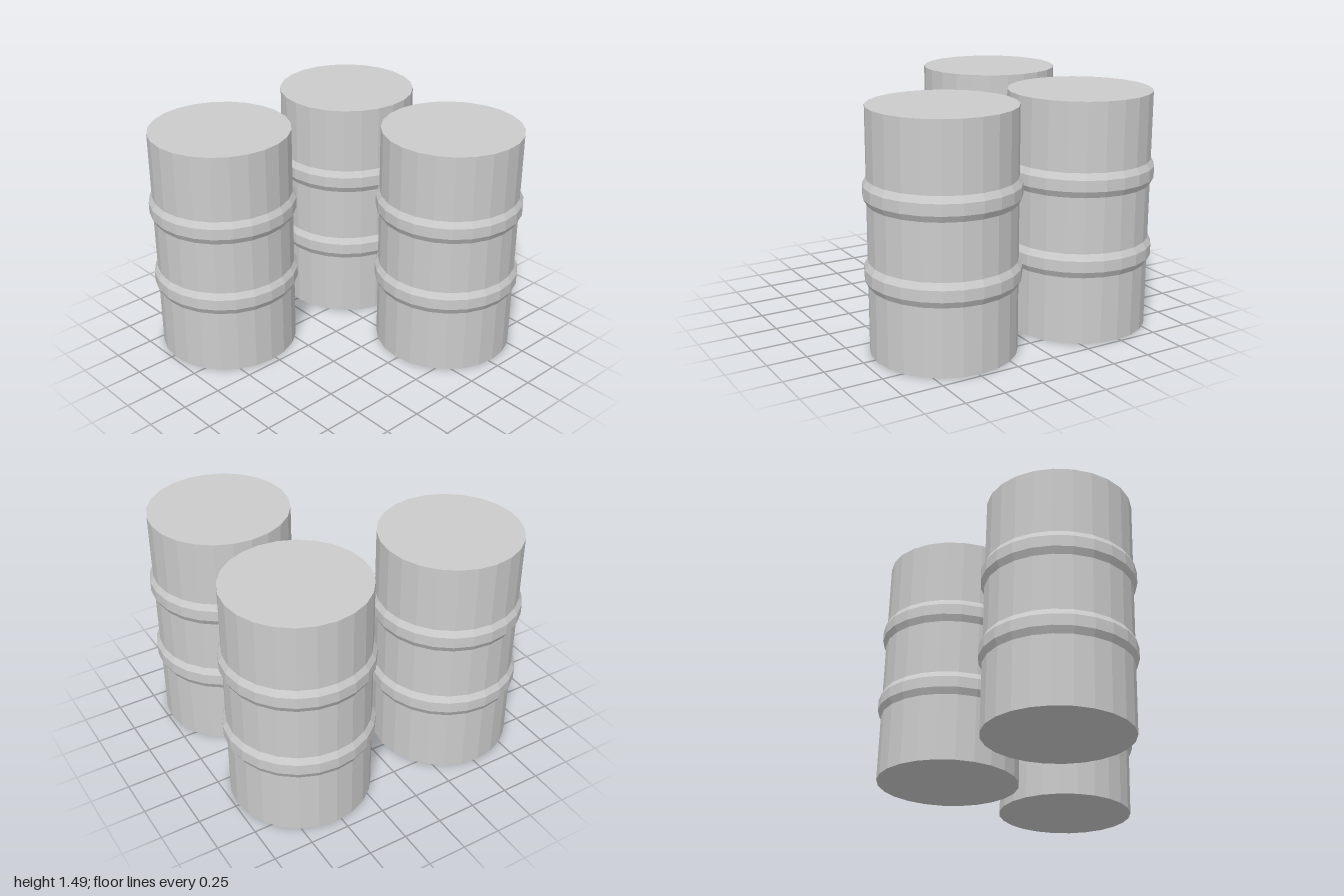
import * as THREE from 'three';

const SIDES = 24, HEIGHT = 1.49, RADIUS = 0.445, HOOP_RADIUS = 0.467;

// Closed drum outline, bottom to top, with two raised hoops
function drumProfile() {
  const points = [[0, 0], [RADIUS, 0]];
  for (const y of [HEIGHT / 3, (HEIGHT * 2) / 3]) {
    points.push([RADIUS, y - 0.075], [HOOP_RADIUS, y - 0.035], [HOOP_RADIUS, y + 0.035], [RADIUS, y + 0.075]);
  }
  points.push([RADIUS, HEIGHT], [0, HEIGHT]);
  return points.map(([x, y]) => new THREE.Vector2(x, y));
}

export function createModel() {
  const group = new THREE.Group();
  group.name = 'drums';
  const material = new THREE.MeshStandardMaterial({ color: 0xcccccc, flatShading: true });
  const geometry = new THREE.LatheGeometry(drumProfile(), SIDES);

  // Three drums on the corners of a rectangle, front left corner empty
  const places = { frontRightDrum: [-0.482, 0.533], backRightDrum: [-0.482, -0.533], backLeftDrum: [0.482, -0.533] };
  for (const [name, [x, z]] of Object.entries(places)) {
    const drum = new THREE.Mesh(geometry, material);
    drum.name = name;
    drum.position.set(x, 0, z);
    group.add(drum);
  }
  return group;
}
